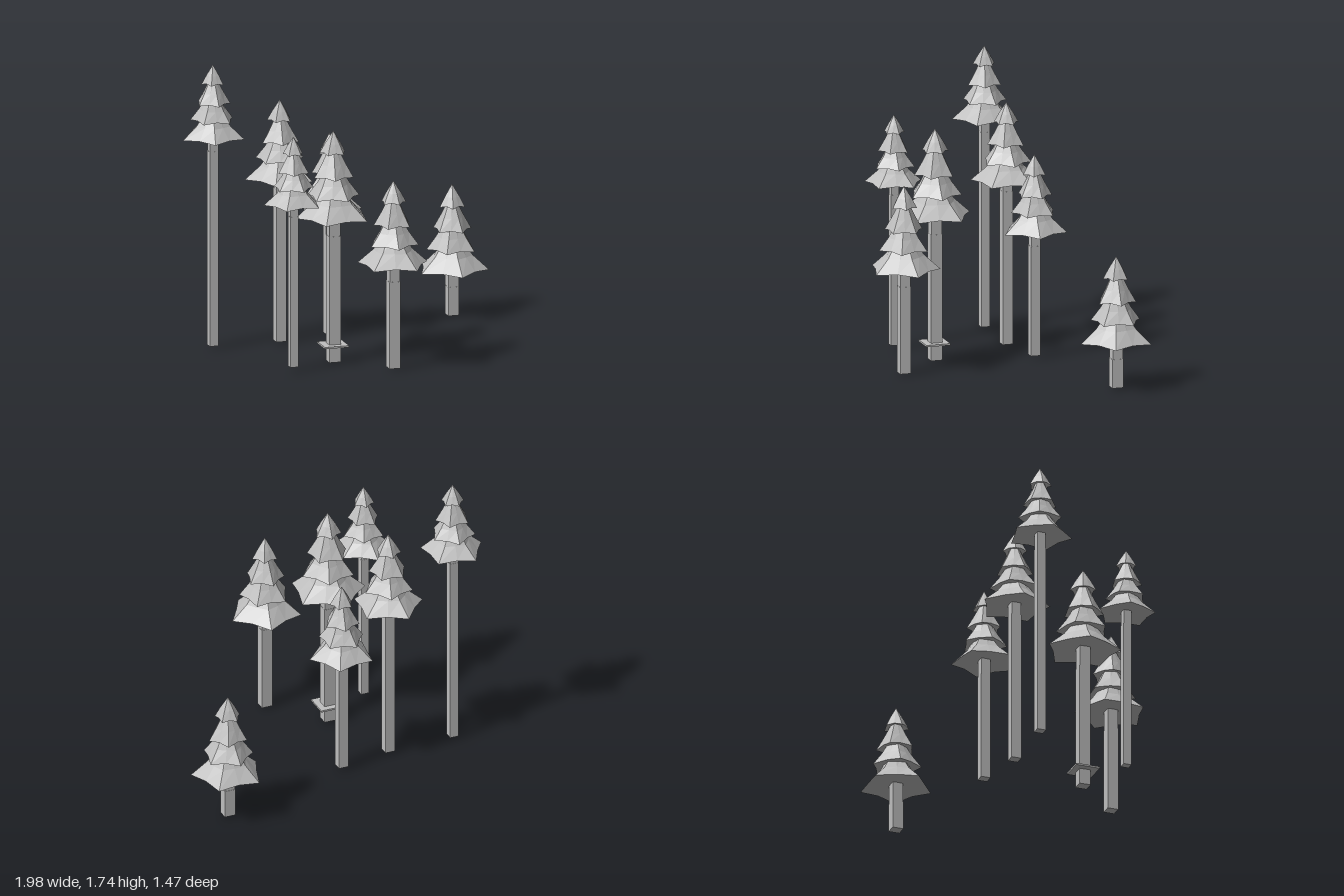
import * as THREE from 'three';

const grey = new THREE.MeshStandardMaterial({ color: 0xc0c0c0, flatShading: true });
grey.name = 'plain grey';

// x, z, trunk foot, trunk joint, foliage bottom, tip height, foliage radius, trunk width, turn in degrees
const TREES = [
  [-0.806, -0.255, 0.02, 1.21, 1.29, 1.735, 0.193, 0.055, 31],
  [-0.518, 0.405, 0.03, 0.95, 1.02, 1.435, 0.177, 0.05, 48],
  [-0.39, -0.254, 0.015, 0.95, 1.01, 1.49, 0.213, 0.062, 42],
  [-0.218, 0.248, 0.0, 0.77, 0.88, 1.41, 0.229, 0.07, 46],
  [-0.06, -0.32, 0.02, 0.69, 0.775, 1.245, 0.197, 0.06, 8],
  [0.063, 0.535, 0.01, 0.54, 0.64, 1.152, 0.218, 0.067, 67],
  [0.778, -0.553, 0.01, 0.185, 0.285, 0.807, 0.22, 0.068, 19],
];

// Tiers from the top: rings of [depth below the tip, radius], as shares of foliage height and radius
const TIERS = [
  [[0, 0.005], [0.14, 0.21], [0.26, 0.36]],
  [[0.18, 0.1], [0.38, 0.34], [0.53, 0.54]],
  [[0.42, 0.18], [0.61, 0.44], [0.76, 0.7]],
  [[0.64, 0.24], [0.83, 0.56], [1, 1]],
];
const POINTS = 5;

// One five-pointed drooping skirt with a hollowed underside
function skirtGeometry(rings, height, radius, turn) {
  const n = POINTS * 2;
  const verts = [];
  const at = (k, i) => {
    const valley = i % 2 === 1;
    const [d, r] = rings[k];
    const a = turn + (i / n) * Math.PI * 2;
    const rr = r * radius * (valley ? [0.95, 0.86, 0.78][k] : 1);
    const y = -(d - (valley && k === 2 ? 0.02 : 0)) * height;
    return [rr * Math.cos(a), y, rr * Math.sin(a)];
  };
  const centre = [0, -(rings[2][0] - 0.05) * height, 0];
  for (let i = 0; i < n; i++) {
    for (let k = 0; k < 2; k++) {
      verts.push(...at(k, i), ...at(k + 1, i + 1), ...at(k + 1, i));
      verts.push(...at(k, i), ...at(k, i + 1), ...at(k + 1, i + 1));
    }
    verts.push(...centre, ...at(2, i), ...at(2, i + 1));
  }
  const g = new THREE.BufferGeometry();
  g.setAttribute('position', new THREE.Float32BufferAttribute(verts, 3));
  g.computeVertexNormals();
  return g;
}

function box(name, w, y0, y1) {
  const mesh = new THREE.Mesh(new THREE.BoxGeometry(w, y1 - y0, w), grey);
  mesh.position.y = (y0 + y1) / 2;
  mesh.name = name;
  return mesh;
}

function createTree([x, z, foot, joint, low, tip, radius, width, degrees]) {
  const tree = new THREE.Group();
  tree.name = 'tree';
  tree.position.set(x, 0, z);
  const height = tip - low;

  // Long lower trunk and short upper trunk reaching into the foliage
  tree.add(box('lowerTrunk', width, foot, joint));
  tree.add(box('upperTrunk', width * 0.95, joint, low + height * 0.12));

  // Foliage tiers, each turned against the next
  TIERS.forEach((rings, t) => {
    const turn = THREE.MathUtils.degToRad(degrees + (3 - t) * 28);
    const skirt = new THREE.Mesh(skirtGeometry(rings, height, radius, turn), grey);
    skirt.position.y = tip;
    skirt.name = 'foliageTier';
    tree.add(skirt);
  });
  return tree;
}

export function createModel() {
  const model = new THREE.Group();
  model.name = 'pineGrove';
  TREES.forEach((t) => model.add(createTree(t)));

  // Thin square plate around one trunk
  const plate = box('trunkPlate', 0.15, 0.097, 0.108);
  plate.position.x = -0.22;
  plate.position.z = 0.25;
  model.add(plate);
  return model;
}
